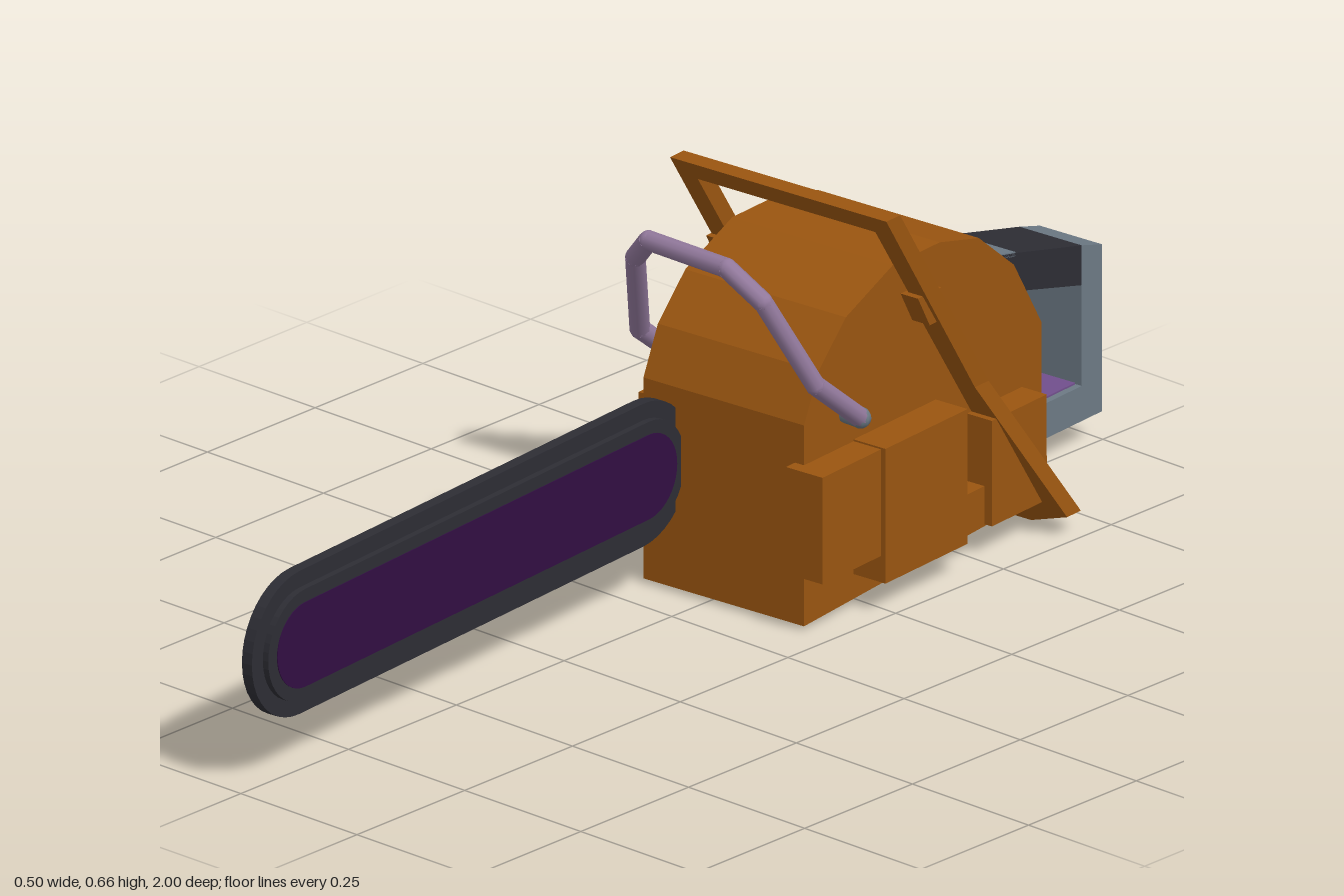
import * as THREE from 'three';

const mat = (name, color) => {
  const m = new THREE.MeshStandardMaterial({ color });
  m.name = name;
  return m;
};

export function createModel() {
  const orange = mat('burnt orange', 0x9a5510);
  const dark = mat('charcoal', 0x2d2d34);
  const purple = mat('deep purple', 0x310e42);
  const grey = mat('slate grey', 0x6c7984);
  const lavender = mat('lavender', 0x92799c);
  const violet = mat('violet', 0x714f8c);

  const root = new THREE.Group();
  root.name = 'chainsaw';
  const saw = new THREE.Group(); // everything that shares the slight yaw
  saw.name = 'saw';
  saw.rotation.y = 0.083;
  root.add(saw);

  const add = (parent, name, geo, material) => {
    const m = new THREE.Mesh(geo, material);
    m.name = name;
    parent.add(m);
    return m;
  };
  const shapeOf = (pts) => new THREE.Shape(pts.map(([a, b]) => new THREE.Vector2(a, b)));
  // Side profile in (z, y), extruded from x0 to x1
  const sideways = (shape, x0, x1) =>
    new THREE.ExtrudeGeometry(shape, { depth: x1 - x0, bevelEnabled: false, curveSegments: 10 })
      .rotateY(-Math.PI / 2).translate(x1, 0, 0);
  const profile = (name, pts, x0, x1, m) => add(saw, name, sideways(shapeOf(pts), x0, x1), m);
  const box = (name, x0, x1, y0, y1, z0, z1, m) =>
    add(saw, name, new THREE.BoxGeometry(x1 - x0, y1 - y0, z1 - z0)
      .translate((x0 + x1) / 2, (y0 + y1) / 2, (z0 + z1) / 2), m);

  // Engine body with a faceted dome
  profile('body', [
    [-0.083, 0.007], [-0.083, 0.35], [-0.12, 0.43], [-0.19, 0.5], [-0.31, 0.55], [-0.43, 0.55],
    [-0.53, 0.525], [-0.62, 0.45], [-0.69, 0.33], [-0.69, 0.035],
  ], -0.122, 0.2, orange);

  // Side housings
  box('leftFrontHousing', 0.182, 0.255, 0.1, 0.282, -0.215, -0.06, orange);
  box('leftMiddleHousing', 0.18, 0.264, 0.055, 0.285, -0.42, -0.21, orange);
  box('leftLedge', 0.18, 0.235, 0.055, 0.12, -0.66, -0.42, orange);
  box('leftRearHousing', 0.18, 0.25, 0.055, 0.235, -0.64, -0.5, orange);
  box('rightFrontHousing', -0.196, -0.11, 0.055, 0.28, -0.37, -0.165, orange);
  add(saw, 'rightRearHousing', new THREE.ExtrudeGeometry(
    shapeOf([[-0.11, 0.055], [-0.11, 0.235], [-0.187, 0.235], [-0.202, 0.16], [-0.202, 0.055]].reverse()),
    { depth: 0.17, bevelEnabled: false }).translate(0, 0, -0.63), orange);

  // Sloping hand guard: a flat frame sheared backwards towards the bottom
  const guard = shapeOf([[-0.19, 0], [0.2, 0], [0.29, 0.035], [0.24, 0.3], [0.246, 0.66], [-0.188, 0.66]]);
  guard.holes.push(new THREE.Path([
    [-0.15, 0.46], [-0.15, 0.625], [0.206, 0.625], [0.206, 0.46],
  ].map(([x, y]) => new THREE.Vector2(x, y))));
  const guardGeo = new THREE.ExtrudeGeometry(guard, { depth: 0.035, bevelEnabled: false });
  const p = guardGeo.attributes.position;
  for (let i = 0; i < p.count; i++) p.setZ(i, p.getZ(i) - 0.27 - (0.66 - p.getY(i)) * 0.65);
  guardGeo.computeVertexNormals();
  add(saw, 'handGuard', guardGeo, orange);
  for (const [name, x0, x1] of [['rightGuardBracket', -0.19, -0.11], ['leftGuardBracket', 0.19, 0.235]])
    profile(name, [[-0.33, 0.495], [-0.39, 0.495], [-0.42, 0.44], [-0.36, 0.44]], x0, x1, orange);

  // Guide bar: chain, rail and inset panel as nested rounded strips
  const strip = (name, r, thick, m) => {
    const y = 0.226, s = new THREE.Shape();
    s.absarc(0.878, y, r, -Math.PI / 2, Math.PI / 2, false);
    s.absarc(0, y, r, Math.PI / 2, Math.PI * 1.5, false);
    add(saw, name, sideways(s, -0.068 - thick / 2, -0.068 + thick / 2), m);
  };
  strip('chain', 0.122, 0.02, dark);
  strip('barRail', 0.094, 0.042, dark);
  strip('barPanel', 0.072, 0.045, purple);

  // Rear handle
  const hx0 = -0.04, hx1 = 0.085;
  profile('rearHandleFrame', [
    [-0.68, 0.05], [-0.992, 0.05], [-0.992, 0.285], [-0.94, 0.348],
    [-0.94, 0.11], [-0.68, 0.11],
  ], hx0, hx1, grey);
  profile('rearHandleFrameTop', [
    [-0.992, 0.285], [-0.992, 0.335], [-0.94, 0.35], [-0.94, 0.28],
  ], hx0, hx1, grey);
  profile('rearGrip', [
    [-0.66, 0.415], [-0.66, 0.345], [-0.7, 0.345], [-0.94, 0.282], [-0.94, 0.35], [-0.77, 0.392],
  ], hx0, hx1, dark);
  profile('gripMount', [
    [-0.66, 0.417], [-0.66, 0.409], [-0.77, 0.386], [-0.77, 0.394],
  ], hx0, hx1, grey);
  box('handleFrontPost', hx0, hx1, 0.1, 0.35, -0.707, -0.68, lavender);
  box('handleFrontPanel', hx0 + 0.015, hx1 - 0.015, 0.115, 0.34, -0.71, -0.703, violet);
  box('handleFloorPanel', hx0 + 0.012, hx1 - 0.012, 0.106, 0.113, -0.938, -0.7, violet);

  // Front wrap-around handle
  const bar = new THREE.Group();
  bar.name = 'frontHandle';
  root.add(bar);
  const up = new THREE.Vector3(0, 1, 0);
  const rod = (name, a, b, r, m) => {
    const d = b.clone().sub(a);
    const mesh = add(bar, name, new THREE.CylinderGeometry(r, r, d.length(), 10), m);
    mesh.position.copy(a).add(b).multiplyScalar(0.5);
    mesh.quaternion.setFromUnitVectors(up, d.normalize());
  };
  const path = [
    [-0.171, 0.338, -0.2], [-0.171, 0.41, -0.11], [-0.097, 0.58, -0.02], [-0.05, 0.628, 0.0],
    [0.118, 0.628, 0.0], [0.178, 0.58, -0.02], [0.216, 0.425, -0.1], [0.216, 0.338, -0.205],
  ].map((a) => new THREE.Vector3(...a));
  for (let i = 0; i < path.length - 1; i++) {
    rod('handleTube', path[i], path[i + 1], 0.0165, lavender);
    if (i > 0) add(bar, 'handleJoint', new THREE.SphereGeometry(0.0165, 10, 8), lavender).position.copy(path[i]);
  }
  // Grey mounts joining the tube to the body
  for (const [end, dx] of [[path[0], 0.045], [path[path.length - 1], -0.045]]) {
    rod('handleMount', end, end.clone().add(new THREE.Vector3(dx, 0, 0)), 0.017, grey);
    add(bar, 'handleMountElbow', new THREE.SphereGeometry(0.0175, 10, 8), grey).position.copy(end);
  }
  return root;
}
